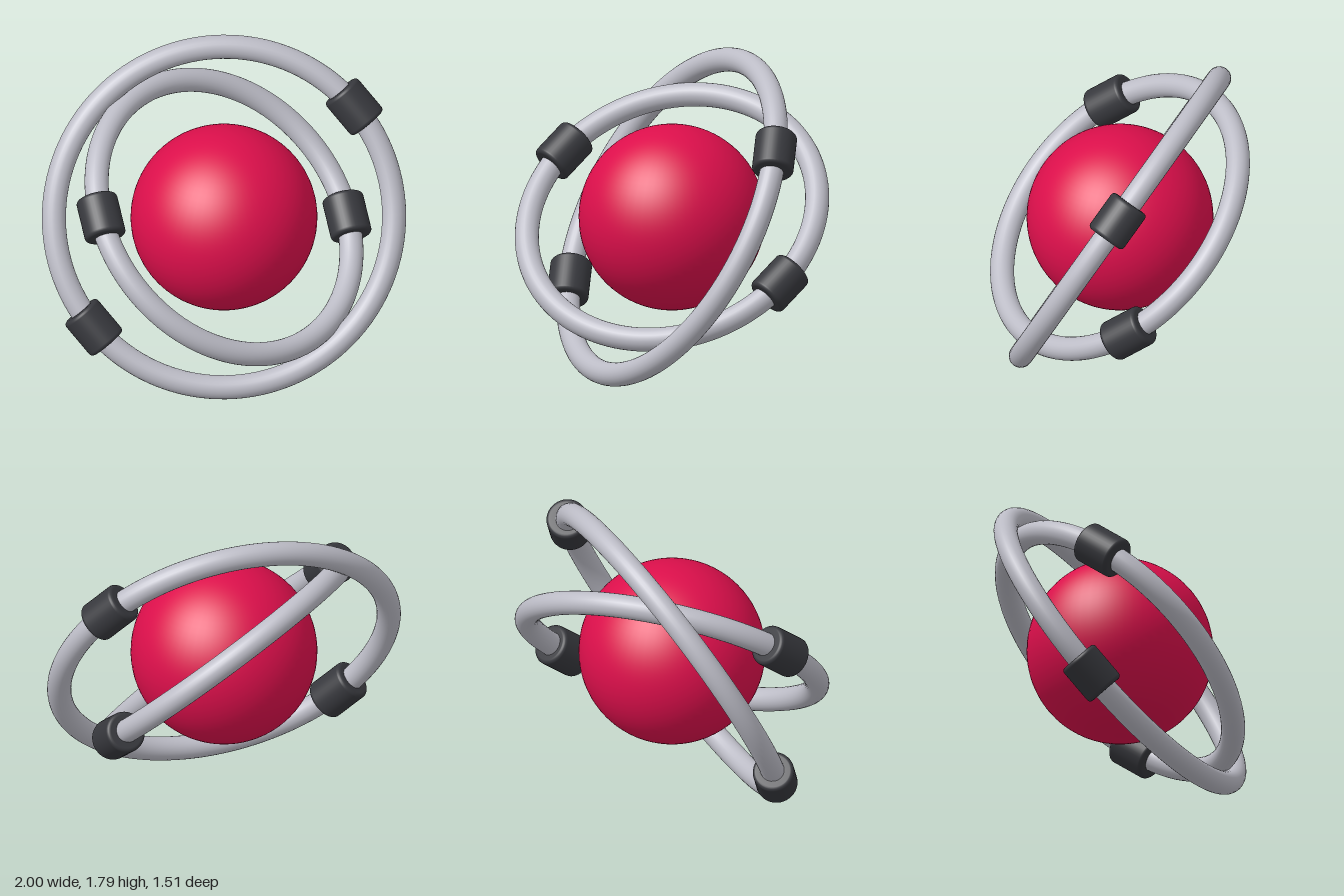
import * as THREE from 'three';

const material = (name, color) => {
  const m = new THREE.MeshStandardMaterial({ color });
  m.name = name;
  return m;
};

export function createModel() {
  const crimson = material('crimson', 0xdc0f4b);
  const silver = material('silver', 0xbcbcc6);
  const charcoal = material('charcoal', 0x37383d);
  const TUBE = 0.067;

  const model = new THREE.Group();
  model.name = 'ringedSphere';

  const add = (parent, name, geometry, mat) => {
    const mesh = new THREE.Mesh(geometry, mat);
    mesh.name = name;
    parent.add(mesh);
    return mesh;
  };

  // Central ball
  add(model, 'core', new THREE.SphereGeometry(0.52, 64, 48), crimson).position.y = 0.895;

  // Collar: hollow sleeve with softly rounded rims, turned around its own y axis
  const collarShape = (radius, length, bevel) => {
    const h = length / 2;
    const points = [new THREE.Vector2(TUBE * 0.9, -h)];
    for (const end of [-1, 1]) {
      for (let i = 0; i <= 5; i++) {
        const a = (end < 0 ? i - 5 : i) / 5 * Math.PI / 2;
        points.push(new THREE.Vector2(
          radius - bevel + bevel * Math.cos(a),
          end * (h - bevel) + bevel * Math.sin(a)));
      }
    }
    points.push(new THREE.Vector2(TUBE * 0.9, h));
    return new THREE.LatheGeometry(points, 40);
  };
  const collarGeometry = collarShape(0.116, 0.24, 0.022);

  // Tilted ring: local z is the ring's normal, local x points to its first collar
  const addRing = (name, radius, normal, collarDirection) => {
    const ring = new THREE.Group();
    ring.name = name;
    const z = new THREE.Vector3(...normal).normalize();
    const x = new THREE.Vector3(...collarDirection).projectOnPlane(z).normalize();
    const y = z.clone().cross(x);
    ring.quaternion.setFromRotationMatrix(new THREE.Matrix4().makeBasis(x, y, z));
    ring.position.y = 0.895;
    add(ring, name + 'Tube', new THREE.TorusGeometry(radius, TUBE, 24, 128), silver);
    for (const side of [1, -1]) {
      add(ring, name + 'Collar', collarGeometry, charcoal).position.x = side * radius;
    }
    model.add(ring);
  };

  addRing('outerRing', 0.95, [-0.185, 0.487, 0.854], [0.79, 0.5, -0.115]);
  addRing('innerRing', 0.83, [0.367, 0.742, 0.561], [-0.78, 0.255, 0.172]);

  return model;
}
